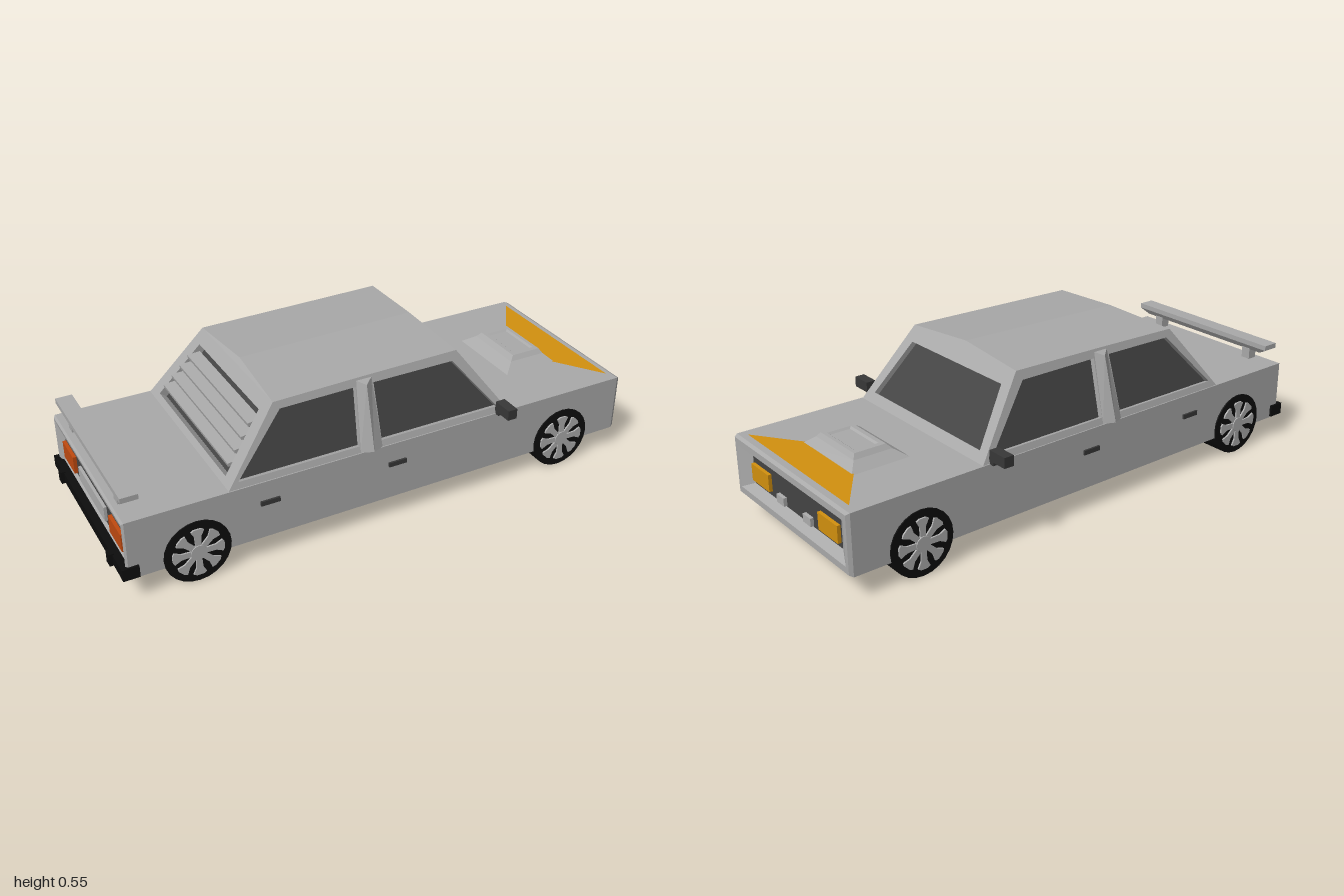
import * as THREE from 'three';

const paint = (name, color) => Object.assign(new THREE.MeshStandardMaterial({ color }), { name });

// Flat faces from lists of corners, counter-clockwise from outside
function faces(polys) {
  const pos = [];
  for (const p of polys)
    for (let i = 1; i < p.length - 1; i++) pos.push(...p[0], ...p[i], ...p[i + 1]);
  const g = new THREE.BufferGeometry();
  g.setAttribute('position', new THREE.Float32BufferAttribute(pos, 3));
  g.computeVertexNormals();
  return g;
}
const flip = ([x, y, z]) => [x, y, -z];
const mirrored = (poly) => poly.map(flip).reverse();

// Rectangle across the car at x, and the skin between successive rectangles
const ring = (x, w, y0, y1) => [[x, y0, w], [x, y0, -w], [x, y1, -w], [x, y1, w]];
function loft(rings) {
  const out = [];
  for (let r = 0; r < rings.length - 1; r++)
    for (let i = 0; i < 4; i++) {
      const j = (i + 1) % 4, a = rings[r], b = rings[r + 1];
      out.push([a[i], a[j], b[j], b[i]]);
    }
  return out;
}

export function createModel() {
  const grey = paint('bodyGrey', 0xa9a9a9);
  const glass = paint('darkGlass', 0x444444);
  const rubber = paint('tyreBlack', 0x0d0d0d);
  const trim = paint('darkTrim', 0x383838);
  const amber = paint('amber', 0xd2900f);
  const red = paint('tailOrange', 0xc04a10);
  const metal = paint('rimGrey', 0xadadad);

  const model = new THREE.Group();
  const car = new THREE.Group();
  car.name = 'car';
  car.rotation.y = 0.345; // parked at an angle
  model.add(car);

  const add = (name, geo, mat, parent = car) => {
    const m = new THREE.Mesh(geo, mat);
    m.name = name;
    parent.add(m);
    return m;
  };
  const box = (name, mat, x0, x1, y0, y1, z0, z1, parent) =>
    add(name, new THREE.BoxGeometry(x1 - x0, y1 - y0, z1 - z0)
      .translate((x0 + x1) / 2, (y0 + y1) / 2, (z0 + z1) / 2), mat, parent);
  const boxPair = (name, mat, x0, x1, y0, y1, z0, z1) => {
    box(name, mat, x0, x1, y0, y1, z0, z1);
    box(name, mat, x0, x1, y0, y1, -z1, -z0);
  };

  // Lower body with recessed nose and tail
  const tail = ring(-0.9, 0.3, 0.14, 0.225), nose = ring(0.912, 0.272, 0.138, 0.24);
  add('body', faces(loft([
    tail, ring(-0.915, 0.325, 0.12, 0.262), ring(-0.92, 0.34, 0.09, 0.285),
    ring(-0.913, 0.347, 0.083, 0.292), ring(0.925, 0.347, 0.083, 0.29),
    ring(0.937, 0.34, 0.09, 0.284), ring(0.937, 0.325, 0.112, 0.262), nose])), grey);
  add('grille', faces([nose]), glass);
  add('tailPanel', faces([[...tail].reverse()]), glass);

  // Lamps and plate
  boxPair('headlight', amber, 0.908, 0.924, 0.155, 0.214, 0.153, 0.265);
  boxPair('fogLight', metal, 0.908, 0.924, 0.142, 0.17, 0.06, 0.105);
  boxPair('tailLight', red, -0.912, -0.898, 0.152, 0.215, 0.18, 0.295);
  box('rearPlate', metal, -0.91, -0.898, 0.158, 0.21, -0.13, 0.13);

  // Rear bumper with wrapped ends and guards
  box('rearBumper', rubber, -0.935, -0.905, 0.09, 0.128, -0.352, 0.352);
  boxPair('bumperEnd', rubber, -0.935, -0.88, 0.088, 0.13, 0.335, 0.355);
  boxPair('bumperGuard', rubber, -0.947, -0.93, 0.088, 0.132, 0.235, 0.265);

  // Cabin: side points lie on one leaning plane
  const P = (x, y) => [x, y, 0.345 - (y - 0.285) * 0.27];
  const A = P(-0.58, 0.285), B = P(0.46, 0.285), C = P(0.275, 0.535), D = P(-0.39, 0.525);
  const M0 = P(-0.075, 0.285), M1 = P(-0.075, 0.531);
  const skin = [], panes = [];
  function opening(outer, inner, depth, both) {
    const v = outer.map((p) => new THREE.Vector3(...p));
    const n = v[1].clone().sub(v[0]).cross(v[3].clone().sub(v[0])).normalize();
    const deep = inner.map((p) => new THREE.Vector3(...p).addScaledVector(n, -depth).toArray());
    const shell = loft([outer, inner, deep]);
    skin.push(...shell);
    panes.push(deep);
    if (both) {
      skin.push(...shell.map(mirrored));
      panes.push(mirrored(deep));
    }
  }
  opening([A, M0, M1, D],
    [P(-0.54, 0.313), P(-0.115, 0.313), P(-0.105, 0.503), P(-0.37, 0.5)], 0.018, true);
  opening([M0, B, C, M1],
    [P(-0.035, 0.313), P(0.412, 0.313), P(0.256, 0.503), P(-0.04, 0.503)], 0.018, true);
  opening([B, flip(B), flip(C), C],
    [[0.434, 0.32, 0.298], [0.434, 0.32, -0.298], [0.308, 0.49, -0.245], [0.308, 0.49, 0.245]], 0.018);
  opening([flip(A), A, D, flip(D)],
    [[-0.56, 0.31, -0.285], [-0.56, 0.31, 0.285], [-0.42, 0.487, 0.24], [-0.42, 0.487, -0.24]], 0.03);

  // Crowned roof
  const ridgeF = [0.262, 0.553, 0], ridgeR = [-0.375, 0.541, 0];
  const roofHalf = [D, C, ridgeF, ridgeR];
  skin.push(roofHalf, mirrored(roofHalf), [C, flip(C), ridgeF], [flip(D), D, ridgeR]);
  add('cabin', faces(skin), grey);
  add('windows', faces(panes), glass);

  // Wedge-shaped door pillars
  const out = ([x, y, z]) => [x, y, z + 0.018];
  const b0 = P(-0.115, 0.292), b1 = P(-0.035, 0.292), t0 = P(-0.1, 0.522), t1 = P(-0.045, 0.522);
  const pb = out(P(-0.075, 0.292)), pt = out(P(-0.073, 0.51));
  const pillar = [[b0, pb, pt, t0], [pb, b1, t1, pt], [b0, b1, pb], [t0, pt, t1]];
  add('doorPillars', faces([...pillar, ...pillar.map(mirrored)]), grey);

  // Rear window louvres
  for (let i = 0; i < 4; i++) {
    const t = 0.2 + i * 0.2;
    const slat = add('louvre', new THREE.BoxGeometry(0.045, 0.012, 2 * (0.285 - 0.045 * t)), grey);
    slat.position.set(-0.552 + 0.14 * t, 0.308 + 0.177 * t, 0);
    slat.rotation.z = 0.15;
  }

  // Amber bonnet panel
  add('bonnetPanel', faces([[[0.79, 0.2935, 0.147], [0.905, 0.2935, 0.31],
    [0.905, 0.2935, -0.31], [0.79, 0.2935, -0.147]]]), amber);

  // Bonnet scoop: sloped base, raised rim, sunken top
  const plate = (x0, x1, w, y) => [[x0, y, w], [x1, y, w], [x1, y, -w], [x0, y, -w]];
  const sunk = plate(0.667, 0.738, 0.075, 0.328);
  add('bonnetScoop', faces([...loft([plate(0.588, 0.8, 0.15, 0.289), plate(0.63, 0.768, 0.112, 0.318),
    plate(0.645, 0.758, 0.1, 0.334), plate(0.66, 0.745, 0.082, 0.334), sunk]), sunk]), grey);

  // Rear spoiler on two posts
  const wingTop = plate(-0.91, -0.852, 0.325, 0.366);
  add('spoilerWing', faces([...loft([plate(-0.895, -0.865, 0.29, 0.328),
    plate(-0.91, -0.852, 0.325, 0.348), wingTop]), wingTop,
    plate(-0.895, -0.865, 0.29, 0.328).reverse()]), grey);
  boxPair('spoilerPost', grey, -0.895, -0.86, 0.288, 0.332, 0.21, 0.245);

  // Mirrors and door handles
  boxPair('wingMirror', trim, 0.4, 0.435, 0.304, 0.34, 0.348, 0.422);
  boxPair('mirrorStem', trim, 0.405, 0.43, 0.288, 0.312, 0.335, 0.36);
  for (const x of [-0.44, 0.02])
    boxPair('doorHandle', trim, x - 0.033, x + 0.033, 0.208, 0.224, 0.34, 0.354);

  // Wheels with eight flared spokes
  const tyre = new THREE.CylinderGeometry(0.112, 0.112, 0.147, 24).rotateX(Math.PI / 2);
  const hub = new THREE.CylinderGeometry(0.026, 0.03, 0.014, 16).rotateX(Math.PI / 2);
  const s = new THREE.Shape([[-0.009, 0.015], [0.009, 0.015], [0.011, 0.058], [0.022, 0.08],
    [0.012, 0.086], [-0.012, 0.086], [-0.022, 0.08], [-0.011, 0.058]]
    .map((p) => new THREE.Vector2(...p)));
  const spoke = new THREE.ExtrudeGeometry(s, { depth: 0.008, bevelEnabled: false });
  for (const x of [-0.69, 0.69])
    for (const side of [1, -1]) {
      const wheel = new THREE.Group();
      wheel.name = 'wheel';
      wheel.position.set(x, 0.112, side * 0.278);
      if (side < 0) wheel.rotation.y = Math.PI;
      car.add(wheel);
      add('tyre', tyre, rubber, wheel);
      add('hub', hub, metal, wheel).position.z = 0.075;
      for (let i = 0; i < 8; i++) {
        const m = add('spoke', spoke, metal, wheel);
        m.position.z = 0.0715;
        m.rotation.z = (i * Math.PI) / 4;
      }
    }
  return model;
}
